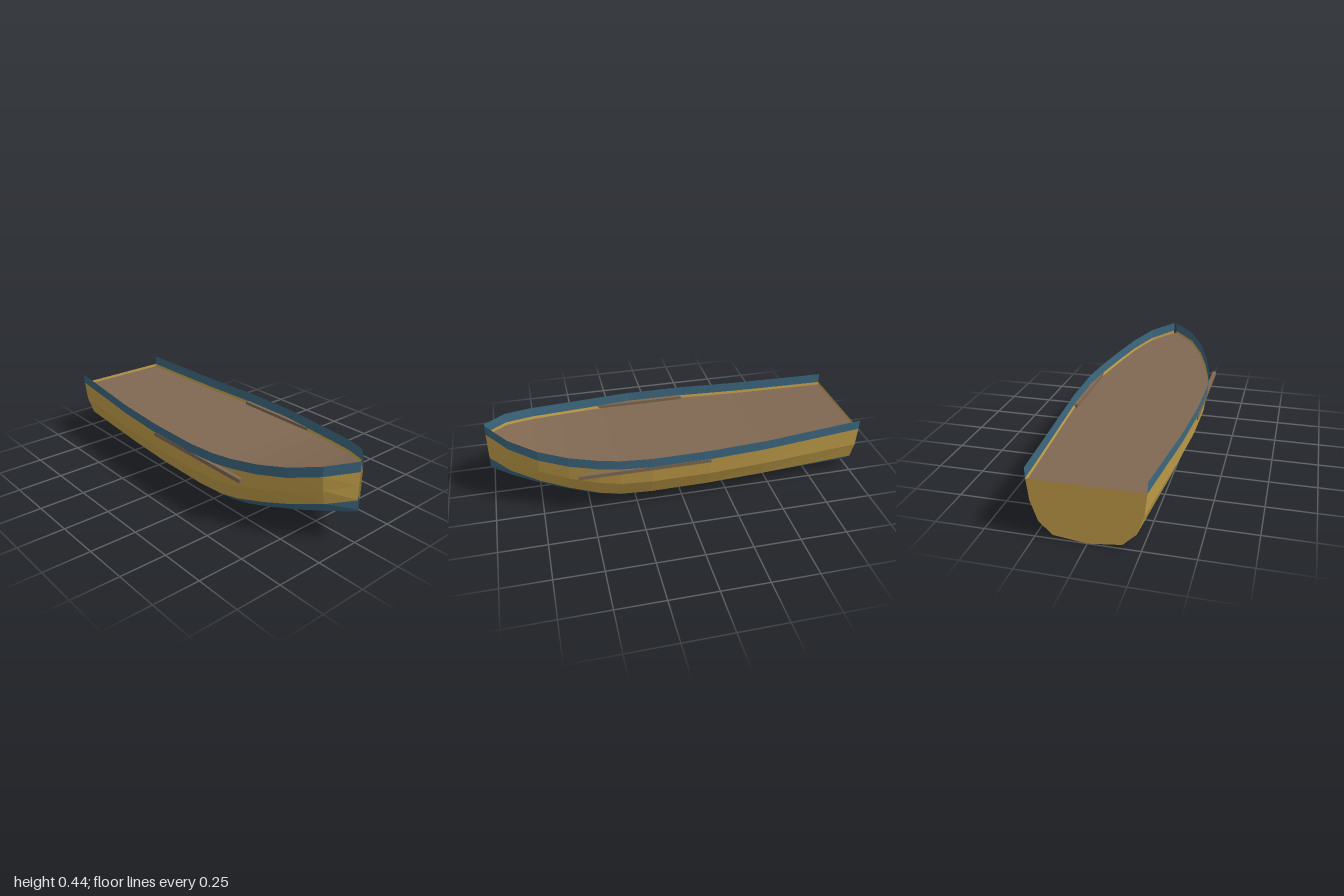
import * as THREE from 'three';

const flat = (name, color) => {
  const m = new THREE.MeshStandardMaterial({ color, flatShading: true, side: THREE.DoubleSide });
  m.name = name;
  return m;
};

// Stations from stern to bow: x, half width, keel height, sheer height
const STATIONS = [
  [-1, 0.278, 0.003, 0.355], [-0.72, 0.302, 0.003, 0.345], [-0.45, 0.326, 0.003, 0.336],
  [-0.13, 0.347, 0.003, 0.335], [0.18, 0.35, 0.003, 0.335], [0.34, 0.335, 0.003, 0.336],
  [0.45, 0.315, 0.02, 0.342], [0.6, 0.277, 0.062, 0.357], [0.75, 0.222, 0.105, 0.382],
  [0.89, 0.137, 0.144, 0.415], [1, 0.008, 0.175, 0.442],
];
// Width share of each section corner, keel to rail
const WIDTHS = [0, 0.586, 0.823, 0.949, 0.994, 1];
const RAIL = 0.054; // depth of the coloured rail strake
const DECK = 0.07; // deck depth below the sheer

function corner([x, w, keel, top], j, side) {
  const h = top - keel;
  const y = [keel, keel + 0.057 * h, keel + 0.24 * h, keel + 0.53 * h, top - RAIL, top][j];
  return [x, y, side * w * WIDTHS[j]];
}

// Skin a list of rows holding equal numbers of points
function loft(rows, flip) {
  const n = rows[0].length, index = [];
  for (let i = 0; i < rows.length - 1; i++) {
    for (let j = 0; j < n - 1; j++) {
      const a = i * n + j, b = a + 1, c = a + n, d = c + 1;
      index.push(...(flip ? [a, b, c, b, d, c] : [a, c, b, b, c, d]));
    }
  }
  const g = new THREE.BufferGeometry();
  g.setAttribute('position', new THREE.Float32BufferAttribute(rows.flat(2), 3));
  g.setIndex(index);
  g.computeVertexNormals();
  return g;
}

export function createModel() {
  const group = new THREE.Group();
  const blue = flat('blue paint', 0x3d6880);
  const ochre = flat('ochre paint', 0xc4a04a);
  const brown = flat('brown wood', 0x806852);
  const add = (name, geometry, material) => {
    const mesh = new THREE.Mesh(geometry, material);
    mesh.name = name;
    group.add(mesh);
    return mesh;
  };

  for (const side of [1, -1]) {
    const label = side > 0 ? 'front' : 'back';
    // Hull side in three painted bands
    const band = (name, corners, material) => add(label + name,
      loft(STATIONS.map(s => corners.map(j => corner(s, j, side))), side < 0), material);
    band('Bottom', [0, 1, 2], blue);
    band('Topside', [2, 3, 4], ochre);
    band('Rail', [4, 5], blue);

    // Straight rubbing strip
    add(label + 'RubbingStrip', new THREE.BoxGeometry(0.695, 0.021, 0.021), brown)
      .position.set(0.2125, 0.2725, side * 0.3375);
  }

  // Deck following the sheer
  add('deck', loft(STATIONS.map(([x, w, , top]) =>
    [[x, top - DECK, -0.985 * w], [x, top - DECK, 0.985 * w]]), true), brown);

  // Flat transom closing the stern
  add('transom', loft([0, 1, 2, 3, 4].map(j =>
    [corner(STATIONS[0], j, -1), corner(STATIONS[0], j, 1)]), true), ochre);

  return group;
}
